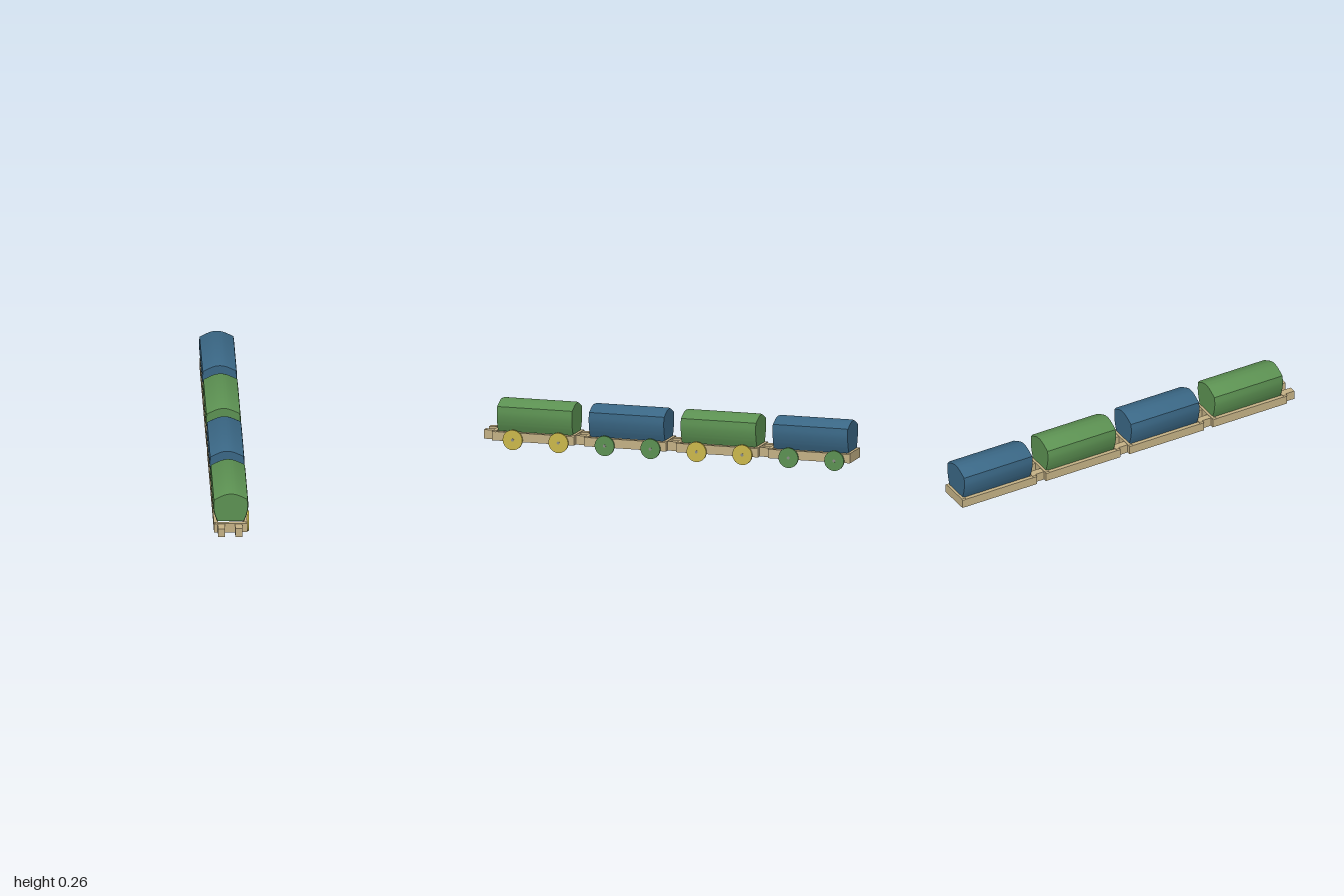
import * as THREE from 'three';
import { toCreasedNormals } from 'three/addons/utils/BufferGeometryUtils.js';

const mat = (name, color) => {
  const m = new THREE.MeshStandardMaterial({ color });
  m.name = name;
  return m;
};

const CX = -0.004; // centre line of the wagons; wheels are on the left side only

// Box given by its extents
function box(name, m, x0, x1, y0, y1, z0, z1) {
  const mesh = new THREE.Mesh(new THREE.BoxGeometry(x1 - x0, y1 - y0, z1 - z0), m);
  mesh.position.set((x0 + x1) / 2, (y0 + y1) / 2, (z0 + z1) / 2);
  mesh.name = name;
  return mesh;
}

// Barrel-sided hood with a curved roof and softened end edges
function hoodGeometry(z0, z1) {
  const bevel = 0.01, inset = 0.004;
  const v = (x, y) => new THREE.Vector2(x, y);
  const s = new THREE.Shape();
  s.moveTo(-0.067, 0.096);
  s.lineTo(0.067, 0.096);
  s.splineThru([v(0.081, 0.135), v(0.088, 0.18), v(0.084, 0.221)]);
  s.splineThru([v(0.034, 0.245), v(0, 0.251), v(-0.034, 0.245), v(-0.084, 0.221)]);
  s.splineThru([v(-0.088, 0.18), v(-0.081, 0.135), v(-0.067, 0.096)]);
  const g = new THREE.ExtrudeGeometry(s, {
    depth: z1 - z0 - 2 * bevel, curveSegments: 4,
    bevelEnabled: true, bevelSegments: 1, bevelThickness: bevel, bevelSize: inset
  });
  g.translate(CX + 0.001, 0, z0 + bevel);
  return toCreasedNormals(g, 0.4);
}

// End board with chamfered upper corners
function endBoardGeometry(z0, z1) {
  const s = new THREE.Shape();
  s.moveTo(-0.087, 0.043);
  s.lineTo(0.087, 0.043);
  s.lineTo(0.087, 0.089);
  s.lineTo(0.08, 0.094);
  s.lineTo(-0.08, 0.094);
  s.lineTo(-0.087, 0.089);
  const g = new THREE.ExtrudeGeometry(s, { depth: z1 - z0, bevelEnabled: false });
  g.translate(CX, 0, z0);
  return g;
}

export function createModel() {
  const green = mat('green paint', 0x5c9152);
  const blue = mat('blue paint', 0x3a6785);
  const wood = mat('pale wood', 0xc4b185);
  const yellow = mat('yellow paint', 0xcab84b);
  const grey = mat('axle grey', 0x8c8c86);
  const train = new THREE.Group();
  train.name = 'wagonTrain';

  const hoodGeo = hoodGeometry(0.012, 0.42);
  const frontGeo = endBoardGeometry(0.425, 0.446);
  const rearGeo = endBoardGeometry(0, 0.021);
  const wheelGeo = new THREE.CylinderGeometry(0.053, 0.053, 0.011, 32).rotateZ(Math.PI / 2);
  const hubGeo = new THREE.CylinderGeometry(0.008, 0.008, 0.002, 12).rotateZ(Math.PI / 2);

  for (let i = 0; i < 4; i++) {
    const wagon = new THREE.Group();
    wagon.name = 'wagon' + (i + 1);
    wagon.position.z = 0.5 - i * 0.5;
    const add = (name, geo, m, x = 0, y = 0, z = 0) => {
      const mesh = new THREE.Mesh(geo, m);
      mesh.name = name;
      mesh.position.set(x, y, z);
      wagon.add(mesh);
    };

    // Hood
    add('hood', hoodGeo, i % 2 ? blue : green);

    // Open chassis frame
    add('frontBoard', frontGeo, wood);
    add('rearBoard', rearGeo, wood);
    for (const [name, side] of [['leftRail', 1], ['rightRail', -1]]) {
      const c = CX + side * 0.0765;
      wagon.add(box(name, wood, c - 0.0105, c + 0.0105, 0.043, 0.09, 0.021, 0.425));
    }

    // Pair of coupling blocks reaching to the wagon in front
    wagon.add(box('rightCoupler', wood, -0.072, -0.035, 0.043, 0.091, 0.446, 0.5));
    wagon.add(box('leftCoupler', wood, 0.018, 0.055, 0.043, 0.091, 0.446, 0.5));

    // Wheels
    for (const z of [0.332, 0.083]) {
      add('wheel', wheelGeo, i % 2 ? green : yellow, 0.0885, 0.053, z);
      add('hub', hubGeo, grey, 0.094, 0.053, z);
    }
    train.add(wagon);
  }
  return train;
}
